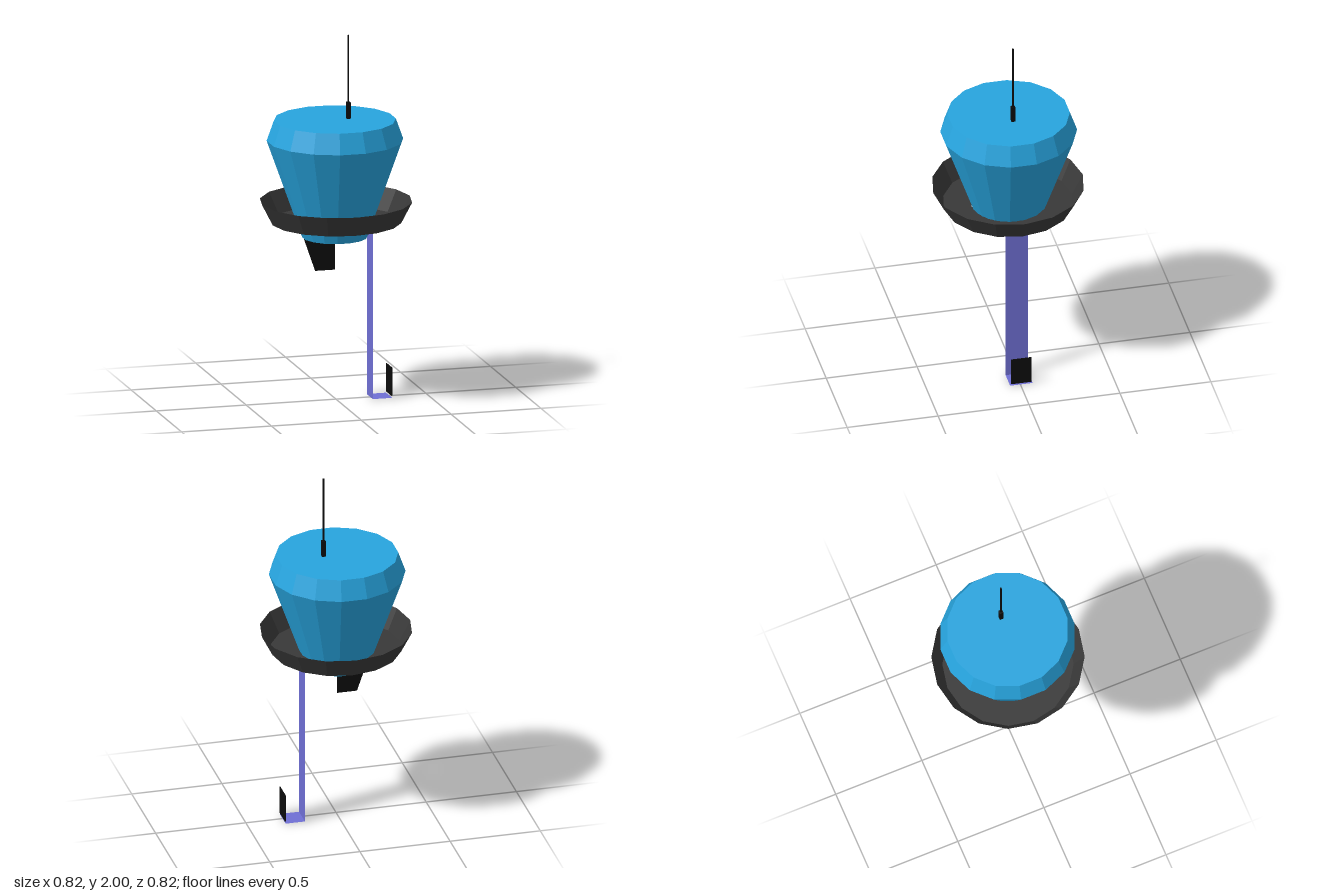
import * as THREE from 'three';

const SIDES = 16;

export function createModel() {
  const model = new THREE.Group();
  model.name = 'hangingFeeder';

  const material = (name, color, side = THREE.FrontSide) =>
    new THREE.MeshStandardMaterial({ name, color, side });
  const blue = material('blue', 0x27a4de);
  const black = material('black', 0x0c0c0c, THREE.DoubleSide);
  const grey = material('dark grey', 0x383838, THREE.DoubleSide);
  const purple = material('purple', 0x6f6fd4, THREE.DoubleSide);

  const add = (name, geometry, mat, x = 0, y = 0, z = 0) => {
    const mesh = new THREE.Mesh(geometry, mat);
    mesh.name = name;
    mesh.position.set(x, y, z);
    model.add(mesh);
    return mesh;
  };

  // Faceted solid of revolution from [radius, height] pairs
  const facetedLathe = (profile, start) => {
    const points = profile.map(([r, y]) => new THREE.Vector2(r, y));
    const geometry = new THREE.LatheGeometry(points, SIDES, start).toNonIndexed();
    geometry.computeVertexNormals();
    return geometry;
  };

  // Tapered body with a bevelled, closed top and flat sides facing the axes
  const halfStep = Math.PI / SIDES;
  add('body', facetedLathe([[0.176, 0.895], [0.367, 1.43], [0.328, 1.54], [0, 1.54]], halfStep),
    blue, -0.005, 0, -0.005);

  // Dark underside of the body
  const underside = new THREE.CircleGeometry(0.176, SIDES, halfStep);
  underside.rotateX(Math.PI / 2);
  add('underside', underside, black, -0.005, 0.895, -0.005);

  // Thin dish: flat floor and flared wall
  add('dish', facetedLathe([[0.2, 0.98], [0.352, 0.98], [0.411, 1.095]], 0), grey);

  // Fin below the body
  const finShape = new THREE.Shape([
    new THREE.Vector2(-0.178, 0.895),
    new THREE.Vector2(-0.115, 0.713),
    new THREE.Vector2(-0.004, 0.713),
    new THREE.Vector2(-0.004, 0.895),
  ]);
  add('fin', new THREE.ShapeGeometry(finShape), black, 0, 0, -0.005);

  // Hanging strip, its foot and the upright pad at the end
  const strip = new THREE.PlaneGeometry(0.124, 0.98);
  strip.rotateY(Math.PI / 2);
  add('strip', strip, purple, 0.19, 0.49, -0.005);

  const foot = new THREE.PlaneGeometry(0.107, 0.124);
  foot.rotateX(-Math.PI / 2);
  add('foot', foot, purple, 0.2435, 0.001, -0.005);

  add('pad', new THREE.BoxGeometry(0.005, 0.155, 0.112), black, 0.297, 0.0885, -0.005);

  // Antenna
  add('antennaBase', new THREE.BoxGeometry(0.021, 0.09, 0.021), black, 0.072, 1.585, -0.011);
  add('antennaRod', new THREE.BoxGeometry(0.007, 0.37, 0.007), black, 0.072, 1.815, -0.011);

  return model;
}
